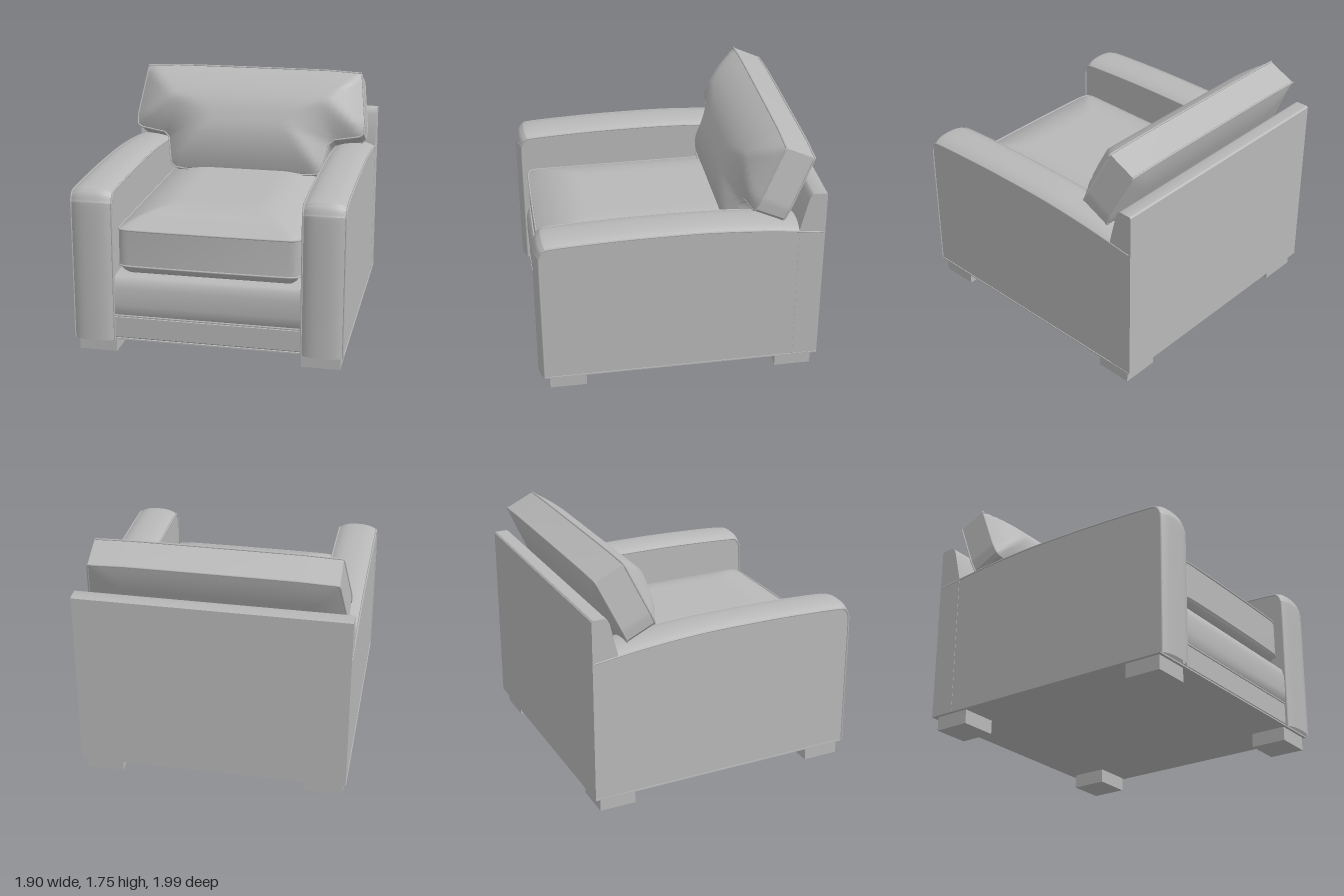
import * as THREE from 'three';
import { toCreasedNormals } from 'three/addons/utils/BufferGeometryUtils.js';

const fabric = new THREE.MeshStandardMaterial({ color: 0xb8b8b8, side: THREE.DoubleSide });
fabric.name = 'grey fabric';

function mesh(name, geometry) {
  const m = new THREE.Mesh(geometry, fabric);
  m.name = name;
  return m;
}

// Smooth grid surface; f(u, v) returns a point, with u and v in 0..1
function surface(nu, nv, f) {
  const pos = [], idx = [];
  for (let j = 0; j <= nv; j++) for (let i = 0; i <= nu; i++) pos.push(...f(i / nu, j / nv));
  for (let j = 0; j < nv; j++) for (let i = 0; i < nu; i++) {
    const a = j * (nu + 1) + i, b = a + 1, c = a + nu + 1, d = c + 1;
    idx.push(a, b, d, a, d, c);
  }
  const g = new THREE.BufferGeometry();
  g.setAttribute('position', new THREE.Float32BufferAttribute(pos, 3));
  g.setIndex(idx);
  g.computeVertexNormals();
  return g;
}

function piping(points, closed) {
  const curve = new THREE.CatmullRomCurve3(points, closed);
  return mesh('piping', new THREE.TubeGeometry(curve, points.length * 2, 0.007, 6, closed));
}

// Side profile of [z, y] points extruded across the width
function acrossWidth(profile, halfWidth) {
  const shape = new THREE.Shape(profile.map(([z, y]) => new THREE.Vector2(-z, y)));
  const g = new THREE.ExtrudeGeometry(shape, { depth: 2 * halfWidth, bevelEnabled: false });
  g.rotateY(Math.PI / 2).translate(-halfWidth, 0, 0);
  return toCreasedNormals(g, 0.7);
}

// Stuffed cushion: rows of [distance down, half width], two bulging faces, a boxed border and piping
function cushion(name, rows, depth, front, back) {
  const side = [rows[0]];
  for (let k = 1; k < rows.length; k++) {
    const [v0, w0] = rows[k - 1], [v1, w1] = rows[k];
    const n = Math.ceil(Math.hypot(v1 - v0, w1 - w0) / 0.035);
    for (let i = 1; i <= n; i++) side.push([v0 + (v1 - v0) * i / n, w0 + (w1 - w0) * i / n]);
  }
  const outline = [...side.map(([v, w]) => [w, -v]), ...side.slice().reverse().map(([v, w]) => [-w, -v])];
  const count = outline.length, last = side.length - 1;

  const edgeDistance = (x, y) => {
    let best = Infinity;
    for (let k = 0; k < count; k++) {
      const [ax, ay] = outline[k], [bx, by] = outline[(k + 1) % count];
      const dx = bx - ax, dy = by - ay;
      const t = Math.min(1, Math.max(0, ((x - ax) * dx + (y - ay) * dy) / (dx * dx + dy * dy)));
      best = Math.min(best, Math.hypot(x - ax - t * dx, y - ay - t * dy));
    }
    return best;
  };
  const face = ([height, range], z0, sign) => surface(40, last, (u, v) => {
    const [down, w] = side[Math.round((1 - v) * last)];
    const x = sign * w * (2 * u - 1);
    const rise = 1 - (1 - Math.min(1, edgeDistance(x, -down) / range)) ** 2;
    return [x, -down, z0 + sign * height * rise];
  });
  const border = surface(count, 1, (u, v) => {
    const [x, y] = outline[Math.round(u * count) % count];
    return [x, y, -depth * v];
  });

  const g = new THREE.Group();
  g.name = name;
  g.add(mesh('frontFace', face(front, 0, 1)));
  g.add(mesh('backFace', face(back, -depth, -1)));
  g.add(mesh('border', toCreasedNormals(border, 0.6)));
  for (const z of [0, -depth]) g.add(piping(outline.map(([x, y]) => new THREE.Vector3(x, y, z)), true));
  return g;
}

// Arm: a crowned strip over the front and top, closed by flat side panels
function arm(sign) {
  const g = new THREE.Group();
  g.name = sign > 0 ? 'leftArm' : 'rightArm';
  const curve = new THREE.SplineCurve([
    [0.99, 0.1], [0.99, 0.6], [0.99, 1.04], [0.98, 1.12], [0.945, 1.175], [0.87, 1.198],
    [0.5, 1.216], [0.2, 1.222], [-0.2, 1.22], [-0.6, 1.195], [-0.99, 1.15],
  ].map(p => new THREE.Vector2(...p)));
  const inner = 0.657, outer = 0.945, mid = (inner + outer) / 2, half = (outer - inner) / 2;
  const at = (t, s) => {
    const p = curve.getPoint(t), d = curve.getTangent(t);
    const drop = 0.035 * (0.5 * s * s + 0.5 * s ** 4);
    return [sign * mid + s * half, p.y + d.x * drop, p.x - d.y * drop];
  };
  g.add(mesh('armCover', surface(14, 70, (u, v) => at(v, 2 * u - 1))));
  for (const s of [-1, 1]) {
    const edge = [];
    for (let i = 0; i <= 70; i++) edge.push(new THREE.Vector3(...at(i / 70, s)));
    const shape = new THREE.Shape([...edge.map(p => new THREE.Vector2(-p.z, p.y)), new THREE.Vector2(0.99, 0.1)]);
    const panel = new THREE.ShapeGeometry(shape);
    panel.rotateY(s * Math.PI / 2);
    if (s < 0) panel.scale(1, 1, -1);
    panel.translate(edge[0].x, 0, 0);
    g.add(mesh('armPanel', panel));
    g.add(piping(edge, false));
  }
  return g;
}

function box(name, w, h, d, x, y, z) {
  const m = mesh(name, new THREE.BoxGeometry(w, h, d));
  m.position.set(x, y, z);
  return m;
}

export function createModel() {
  const model = new THREE.Group();
  model.name = 'armchair';

  model.add(arm(1), arm(-1));

  // Back panel with a sloped inner side
  model.add(mesh('backPanel', acrossWidth([
    [-1, 0.1], [-1, 1.41], [-0.99, 1.42], [-0.91, 1.42], [-0.89, 1.41], [-0.875, 1.38], [-0.82, 1.15], [-0.82, 0.1],
  ], 0.947)));

  // Base with a low rail and a padded front
  model.add(mesh('base', acrossWidth([
    [-0.9, 0.105], [0.92, 0.105], [0.937, 0.12], [0.937, 0.265], [0.925, 0.278], [0.938, 0.292],
    [0.947, 0.36], [0.945, 0.48], [0.93, 0.54], [0.91, 0.56], [0.87, 0.57], [-0.9, 0.57],
  ], 0.68)));
  model.add(piping([-0.67, 0, 0.67].map(x => new THREE.Vector3(x, 0.278, 0.935)), false));
  model.add(box('bottomRim', 1.9, 0.01, 1.94, 0, 0.105, -0.03));

  // Seat cushion lies flat
  const seat = cushion('seatCushion',
    [[-0.82, 0.62], [-0.8, 0.64], [0.85, 0.637], [0.89, 0.628], [0.91, 0.605], [0.92, 0.56]],
    0.26, [0.115, 0.36], [0.07, 0.09]);
  seat.rotation.x = -Math.PI / 2;
  seat.position.y = 0.9;
  model.add(seat);

  // T-shaped back cushion leans back over the arms
  const backCushion = cushion('backCushion',
    [[0, 0.6], [0.012, 0.84], [0.4, 0.89], [0.48, 0.885], [0.505, 0.86], [0.54, 0.66],
      [0.58, 0.625], [0.78, 0.59], [0.81, 0.55]],
    0.22, [0.155, 0.38], [0.03, 0.25]);
  backCushion.rotation.x = -25 * Math.PI / 180;
  backCushion.position.set(0, 1.737, -0.73);
  model.add(backCushion);

  // Block feet
  for (const x of [-0.79, 0.79]) for (const z of [0.79, -0.83]) {
    model.add(box('foot', 0.27, 0.105, 0.26, x, 0.0525, z));
  }
  return model;
}
